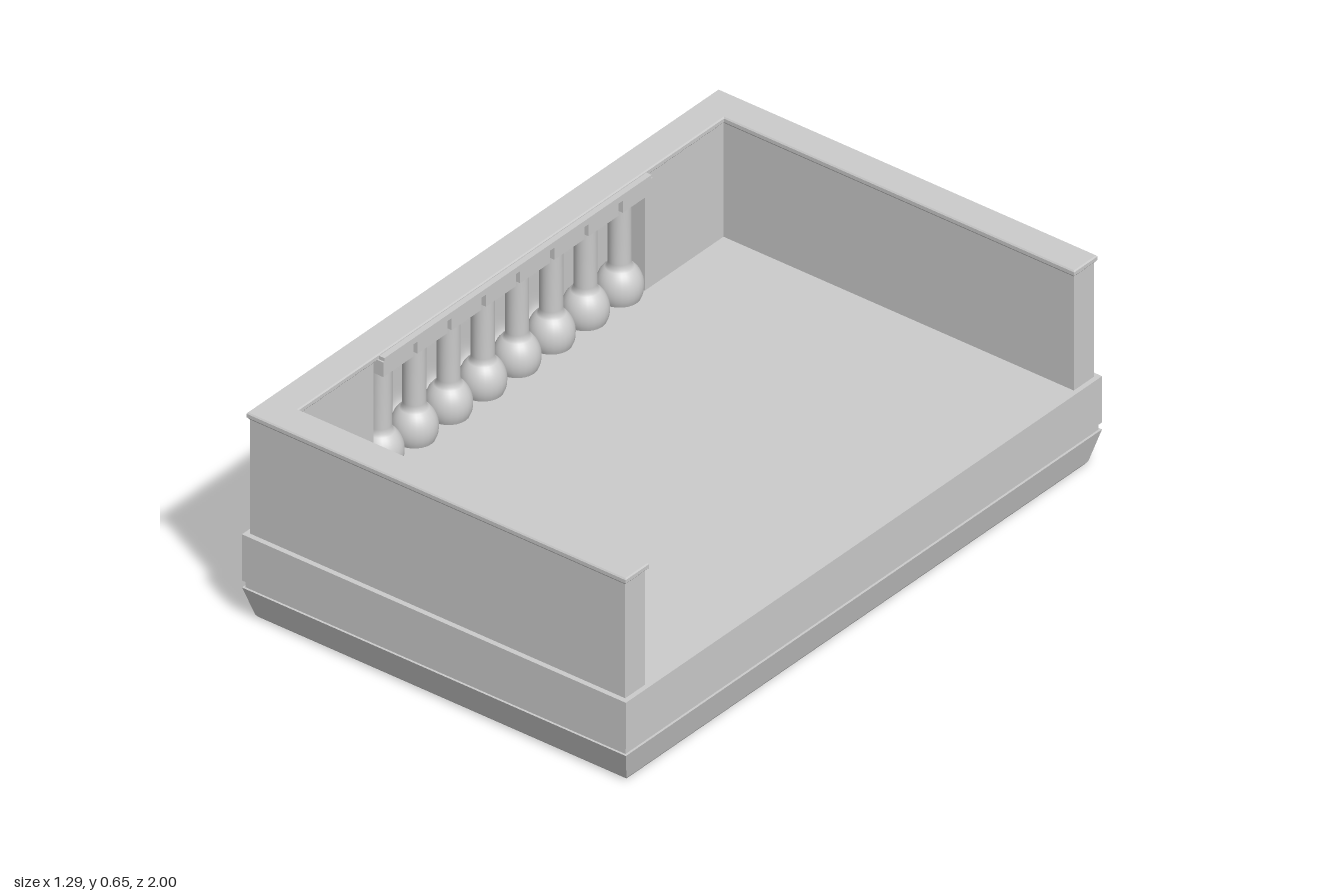
import * as THREE from 'three';

const material = new THREE.MeshStandardMaterial({ color: 0xcccccc });

// Stack plan outlines [x, -z] (counter-clockwise from above) into a closed solid
function loft(levels, outline) {
  const rings = levels.map(l => outline(l).map(([x, mz]) => [x, l.y, -mz]));
  const pos = [];
  const n = rings[0].length;
  for (let k = 0; k + 1 < rings.length; k++) {
    for (let i = 0; i < n; i++) {
      const j = (i + 1) % n;
      const a = rings[k][i], b = rings[k][j], c = rings[k + 1][j], d = rings[k + 1][i];
      pos.push(...a, ...b, ...c, ...a, ...c, ...d);
    }
  }
  const cap = (ring, up) => {
    const contour = ring.map(p => new THREE.Vector2(p[0], -p[2]));
    for (const [a, b, c] of THREE.ShapeUtils.triangulateShape(contour, [])) {
      pos.push(...ring[a], ...ring[up ? b : c], ...ring[up ? c : b]);
    }
  };
  cap(rings[0], false);
  cap(rings[rings.length - 1], true);
  const geometry = new THREE.BufferGeometry();
  geometry.setAttribute('position', new THREE.Float32BufferAttribute(pos, 3));
  geometry.computeVertexNormals();
  return geometry;
}

function add(parent, name, geometry) {
  const mesh = new THREE.Mesh(geometry, material);
  mesh.name = name;
  parent.add(mesh);
  return mesh;
}

// Box given by its lower and upper limits on each axis
function addBox(parent, name, [x0, x1], [y0, y1], [z0, z1]) {
  const mesh = add(parent, name, new THREE.BoxGeometry(x1 - x0, y1 - y0, z1 - z0));
  mesh.position.set((x0 + x1) / 2, (y0 + y1) / 2, (z0 + z1) / 2);
}

export function createModel() {
  const model = new THREE.Group();
  model.name = 'balcony';

  const floorY = 0.27, notchTop = 0.21, notchX = -0.505, opening = 0.57;

  // Tapered base with a shadow groove and a notch under the balustrade
  const baseLevels = [
    { y: 0, x: 0.615, z: 0.96 },
    { y: 0.01, x: 0.623, z: 0.97 },
    { y: 0.103, x: 0.645, z: 1 },
    { y: 0.103, x: 0.638, z: 0.993 },
    { y: 0.125, x: 0.638, z: 0.993 },
    { y: 0.125, x: 0.645, z: 1 },
    { y: notchTop, x: 0.645, z: 1 },
  ];
  add(model, 'base', loft(baseLevels, ({ x, z }) => [
    [-x, -z], [x, -z], [x, z], [-x, z],
    [-x, opening], [notchX, opening], [notchX, -opening], [-x, -opening],
  ]));
  addBox(model, 'floorSlab', [-0.645, 0.645], [notchTop, floorY], [-1, 1]);

  // Parapet walls on three sides, with a gap for the balusters
  const capY = 0.628;
  const wallY = [floorY, capY];
  const outX = -0.63, inX = -0.547, endX = 0.63, outZ = 0.984, inZ = 0.9;
  for (const s of [-1, 1]) {
    const span = (a, b) => [Math.min(s * a, s * b), Math.max(s * a, s * b)];
    addBox(model, 'endWall', [outX, endX], wallY, span(inZ, outZ));
    addBox(model, 'sideWall', [outX, inX], wallY, span(opening, inZ));
  }

  // Coping around the U-shaped wall top with a small flared lip
  const capLevels = [
    { y: capY, o: 0 },
    { y: 0.636, o: 0.007 },
    { y: 0.647, o: 0.007 },
    { y: 0.651, o: 0.004 },
  ];
  add(model, 'coping', loft(capLevels, ({ o }) => [
    [outX - o, -outZ - o], [endX + o, -outZ - o], [endX + o, -inZ + o], [inX + o, -inZ + o],
    [inX + o, inZ - o], [endX + o, inZ - o], [endX + o, outZ + o], [outX - o, outZ + o],
  ]));

  // Balustrade: bulbous turned posts with square head blocks
  const balustrade = new THREE.Group();
  balustrade.name = 'balustrade';
  model.add(balustrade);
  const railX = [-0.636, -0.522];
  addBox(balustrade, 'headRail', railX, [capY - 0.002, 0.645], [-0.567, 0.555]);

  const profile = [];
  for (let i = 0; i <= 12; i++) {
    const a = THREE.MathUtils.lerp(-0.5, 1.04, i / 12);
    profile.push(new THREE.Vector2(0.065 * Math.cos(a), 0.306 + 0.075 * Math.sin(a)));
  }
  profile.push(
    new THREE.Vector2(0.032, 0.385), new THREE.Vector2(0.032, 0.568),
    new THREE.Vector2(0.037, 0.574), new THREE.Vector2(0.037, 0.584),
    new THREE.Vector2(0.032, 0.592),
  );
  const post = new THREE.LatheGeometry(profile, 24);
  for (let i = 0; i < 8; i++) {
    const z = 0.497 - i * 0.1437;
    add(balustrade, 'baluster', post).position.set(-0.583, 0, z);
    addBox(balustrade, 'headBlock', railX, [0.588, 0.634], [z - 0.063, z + 0.063]);
  }

  return model;
}
